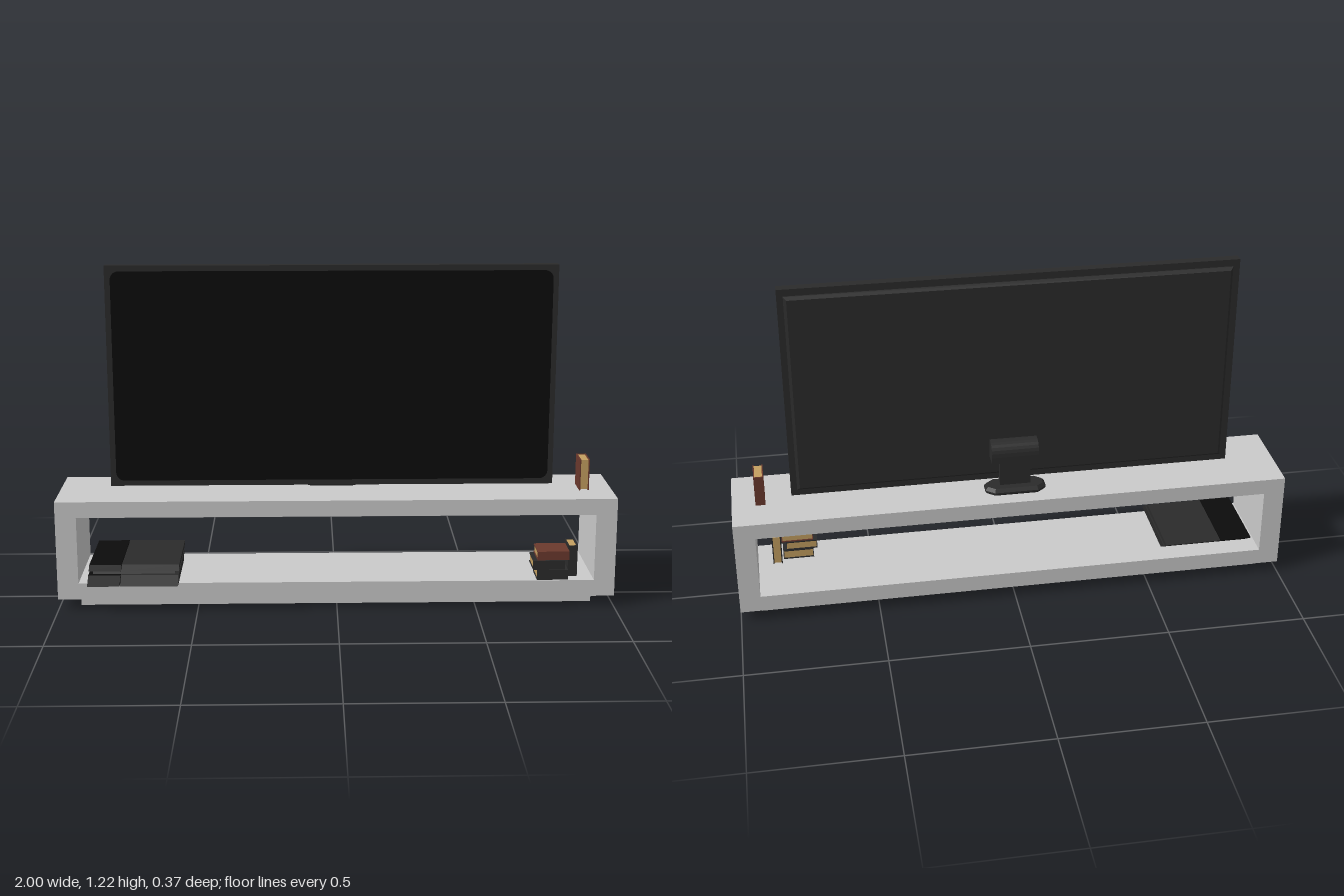
import * as THREE from 'three';

const material = (name, color, side = THREE.FrontSide) => {
  const m = new THREE.MeshStandardMaterial({ color, side });
  m.name = name;
  return m;
};

export function createModel() {
  const root = new THREE.Group();
  root.name = 'televisionStand';
  const grey = material('light grey', 0xcacaca);
  const charcoal = material('charcoal', 0x2b2b2b);
  const black = material('gloss black', 0x0b0b0b);
  const red = material('red brown', 0x6b392d);
  const paper = material('paper', 0xc49f60);

  const add = (parent, name, geo, mat) => {
    const mesh = new THREE.Mesh(geo, mat);
    mesh.name = name;
    parent.add(mesh);
    return mesh;
  };
  const group = (name) => {
    const g = new THREE.Group();
    g.name = name;
    root.add(g);
    return g;
  };
  // Box given by its limits on each axis
  const box = (x0, x1, y0, y1, z0, z1) =>
    new THREE.BoxGeometry(x1 - x0, y1 - y0, z1 - z0)
      .translate((x0 + x1) / 2, (y0 + y1) / 2, (z0 + z1) / 2);
  const rect = (Type, x0, x1, y0, y1) => new Type([
    [x0, y0], [x1, y0], [x1, y1], [x0, y1],
  ].map(([x, y]) => new THREE.Vector2(x, y)));

  // Cabinet: a frame open at front and back, on a recessed plinth
  const cabinet = group('cabinet');
  const frame = rect(THREE.Shape, -1, 1, 0.04, 0.403);
  frame.holes.push(rect(THREE.Path, -0.925, 0.925, 0.1, 0.345));
  add(cabinet, 'cabinetFrame', new THREE.ExtrudeGeometry(frame, { depth: 0.335, bevelEnabled: false })
    .translate(0, 0, -0.185), grey);
  add(cabinet, 'plinth', box(-0.925, 0.925, 0, 0.04, -0.13, 0.095), grey);

  // Television: bezel, chamfered back panel, round-cornered screen
  const tv = group('television');
  add(tv, 'bezel', box(-0.815, 0.787, 0.42, 1.22, -0.035, -0.002), charcoal);
  const bevel = 0.01;
  add(tv, 'backPanel', new THREE.ExtrudeGeometry(
    rect(THREE.Shape, -0.79 + bevel, 0.765 - bevel, 0.445 + bevel, 1.195 - bevel),
    { depth: 0.01, bevelThickness: bevel, bevelSize: bevel, bevelSegments: 1 },
  ).translate(0, 0, -0.04), charcoal);
  const [sx0, sx1, sy0, sy1, r] = [-0.795, 0.768, 0.44, 1.2, 0.03];
  const screen = new THREE.Shape();
  screen.absarc(sx1 - r, sy0 + r, r, -Math.PI / 2, 0);
  screen.absarc(sx1 - r, sy1 - r, r, 0, Math.PI / 2);
  screen.absarc(sx0 + r, sy1 - r, r, Math.PI / 2, Math.PI);
  screen.absarc(sx0 + r, sy0 + r, r, Math.PI, Math.PI * 1.5);
  add(tv, 'screen', new THREE.ExtrudeGeometry(screen, { depth: 0.003, bevelEnabled: false, curveSegments: 4 })
    .translate(0, 0, -0.003), black);

  // Stand: arched bracket, column and a tapered eight-sided foot
  const stand = group('stand');
  stand.position.x = -0.013;
  const arm = new THREE.Shape();
  arm.moveTo(0.04, 0.52);
  arm.lineTo(0.106, 0.52);
  arm.lineTo(0.106, 0.545);
  arm.quadraticCurveTo(0.106, 0.592, 0.06, 0.592);
  arm.lineTo(0.04, 0.592);
  // Profile x runs backwards, extrusion runs sideways
  add(stand, 'bracket', new THREE.ExtrudeGeometry(arm, { depth: 0.17, bevelEnabled: false, curveSegments: 6 })
    .translate(0, 0, -0.085).rotateY(Math.PI / 2), charcoal);
  add(stand, 'column', box(-0.055, 0.055, 0.41, 0.53, -0.1, -0.075), charcoal);
  const foot = new THREE.Shape([
    [-0.1, -0.015], [-0.075, -0.035], [0.075, -0.035], [0.1, -0.015],
    [0.1, 0.015], [0.075, 0.035], [-0.075, 0.035], [-0.1, 0.015],
  ].map(([x, y]) => new THREE.Vector2(x, y)));
  add(stand, 'foot', new THREE.ExtrudeGeometry(foot, {
    depth: 0.006, bevelThickness: 0.012, bevelSize: 0.01, bevelSegments: 1,
  }).rotateX(-Math.PI / 2).translate(0, 0.41, -0.09), charcoal);

  // Game console: two slanted slabs with a recessed gap, part gloss and part matt
  const gameConsole = group('gameConsole');
  const slab = (name, x0, x1, y0, y1, inset, mat) => {
    const geo = box(x0, x1, y0, y1, -0.105 + inset, 0.185 - inset);
    const p = geo.attributes.position;
    for (let i = 0; i < p.count; i++) p.setZ(i, p.getZ(i) - 1.38 * (p.getY(i) - 0.1));
    geo.computeVertexNormals();
    add(gameConsole, name, geo, mat);
  };
  for (const [name, y0, y1] of [['lower', 0.1, 0.129], ['upper', 0.139, 0.156]]) {
    slab(name + 'GlossSlab', -0.89, -0.775, y0, y1, 0, black);
    slab(name + 'MattSlab', -0.773, -0.567, y0, y1, 0, charcoal);
  }
  slab('consoleCore', -0.875, -0.582, 0.125, 0.143, 0.015, charcoal);

  // Book: upright, spine towards +z, pages set between two covers
  const book = (name, thick, height, depth, cover) => {
    const g = group(name);
    const c = 0.004;
    for (const s of [-1, 1]) {
      add(g, 'cover', box(-c / 2, c / 2, 0, height, -depth / 2, depth / 2)
        .translate(s * (thick - c) / 2, 0, 0), cover);
    }
    add(g, 'spine', box(-thick / 2 + c, thick / 2 - c, 0, height, depth / 2 - c, depth / 2), cover);
    add(g, 'pages', box(-thick / 2 + c, thick / 2 - c, 0.003, height - 0.003, -depth / 2 + 0.003, depth / 2 - c), paper);
    return g;
  };
  const topBook = book('topBook', 0.035, 0.115, 0.09, red);
  topBook.position.set(0.898, 0.403, -0.011);
  topBook.rotation.y = Math.PI;
  book('uprightBook', 0.034, 0.115, 0.085, charcoal).position.set(0.854, 0.1, 0.06);

  // Flat stack: x of right end, bottom, thickness, length, cover
  [
    [0.832, 0.1, 0.037, 0.112, charcoal],
    [0.82, 0.138, 0.034, 0.115, charcoal],
    [0.835, 0.174, 0.032, 0.115, red],
  ].forEach(([x, y, thick, length, cover], i) => {
    const b = book('stackedBook' + (i + 1), thick, length, 0.1, cover);
    b.rotation.z = Math.PI / 2;
    b.position.set(x, y + thick / 2, 0.094);
  });

  return root;
}
